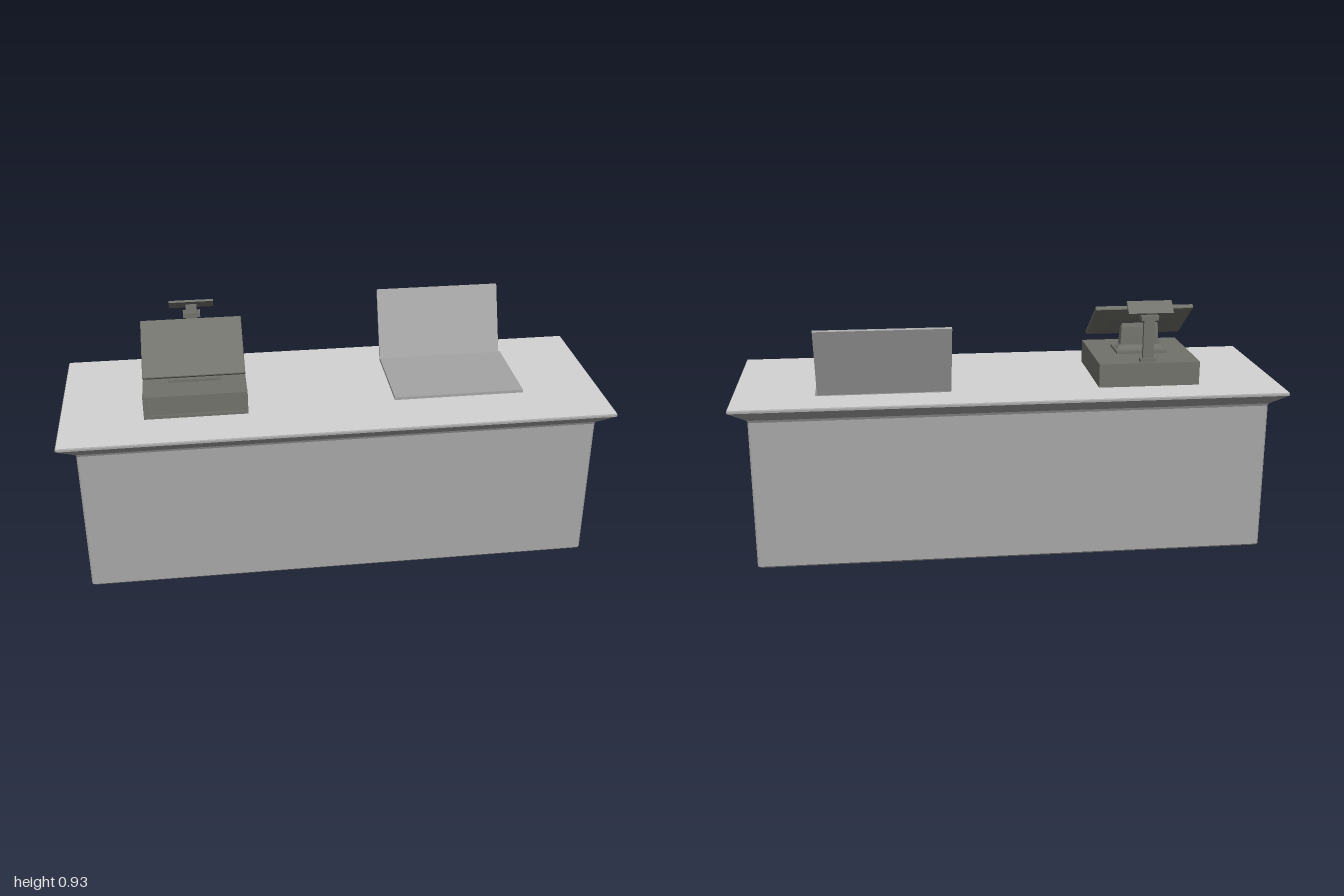
import * as THREE from 'three';

const mat = (name, color) => new THREE.MeshStandardMaterial({ name, color });

// Stacked rectangles with chamfered corners; levels are [y, halfX, halfZ]
function loft(levels, c = 0.002, topCap = true) {
  const rings = levels.map(([y, hx, hz]) => [
    [-hx + c, y, hz], [hx - c, y, hz], [hx, y, hz - c], [hx, y, -hz + c],
    [hx - c, y, -hz], [-hx + c, y, -hz], [-hx, y, -hz + c], [-hx, y, hz - c],
  ]);
  const pos = [];
  const tri = (...pts) => pts.forEach((p) => pos.push(...p));
  for (let k = 0; k < rings.length - 1; k++) {
    const lo = rings[k], hi = rings[k + 1];
    for (let i = 0; i < 8; i++) {
      const j = (i + 1) % 8;
      tri(lo[i], lo[j], hi[j]);
      tri(lo[i], hi[j], hi[i]);
    }
  }
  const bottom = rings[0], top = rings[rings.length - 1];
  for (let i = 1; i < 7; i++) {
    tri(bottom[0], bottom[i + 1], bottom[i]);
    if (topCap) tri(top[0], top[i], top[i + 1]);
  }
  const geo = new THREE.BufferGeometry();
  geo.setAttribute('position', new THREE.Float32BufferAttribute(pos, 3));
  geo.computeVertexNormals();
  return geo;
}

export function createModel() {
  const body = mat('counterGrey', 0xa6a6a6);
  const light = mat('worktopLightGrey', 0xd4d4d4);
  const dark = mat('registerDarkGrey', 0x72726c);
  const silver = mat('laptopGrey', 0xa5a5a5);

  const model = new THREE.Group();
  const add = (parent, name, geo, material, x = 0, y = 0, z = 0, rx = 0) => {
    const mesh = new THREE.Mesh(geo, material);
    mesh.name = name;
    mesh.position.set(x, y, z);
    mesh.rotation.x = rx;
    parent.add(mesh);
    return mesh;
  };
  const group = (name, x = 0, y = 0, z = 0) => {
    const g = new THREE.Group();
    g.name = name;
    g.position.set(x, y, z);
    model.add(g);
    return g;
  };
  const box = (w, h, d) => new THREE.BoxGeometry(w, h, d);

  // Counter: plain body flaring out to a thin lip, with a light worktop
  const counter = group('counter');
  add(counter, 'counterBody', loft([
    [0, 0.929, 0.292], [0.007, 0.936, 0.298], [0.557, 0.936, 0.298],
    [0.567, 0.942, 0.303], [0.6, 0.991, 0.338], [0.606, 1, 0.344],
    [0.613, 1, 0.344], [0.617, 0.997, 0.341],
  ], 0.006, false), body);
  const worktop = add(counter, 'worktop', new THREE.PlaneGeometry(1.99, 0.68), light, 0, 0.617, 0, -Math.PI / 2);
  worktop.scale.set(1.994 / 1.99, 0.682 / 0.68, 1);

  // Cash register: drawer with a framed front
  const register = group('cashRegister', -0.512, 0.617, 0);
  add(register, 'drawerCase', box(0.374, 0.088, 0.365), dark, 0, 0.044, -0.0205);
  const frame = new THREE.Shape([[-0.187, 0], [0.187, 0], [0.187, 0.088], [-0.187, 0.088]]
    .map(([x, y]) => new THREE.Vector2(x, y)));
  frame.holes.push(new THREE.Path([[-0.174, 0.012], [-0.174, 0.076], [0.174, 0.076], [0.174, 0.012]]
    .map(([x, y]) => new THREE.Vector2(x, y))));
  add(register, 'drawerFrame', new THREE.ExtrudeGeometry(frame, { depth: 0.006, bevelEnabled: false }),
    dark, 0, 0, 0.162);

  // Screen stand and tilted screen with a shallow tapered back
  add(register, 'standPlate', box(0.19, 0.01, 0.126), dark, 0, 0.093, -0.002);
  add(register, 'standNeck', loft([
    [0.097, 0.088, 0.031], [0.101, 0.086, 0.029], [0.113, 0.074, 0.021],
    [0.14, 0.072, 0.02], [0.18, 0.07, 0.017], [0.195, 0.068, 0.013],
  ]), dark, 0, 0, -0.002);
  add(register, 'screen', loft([
    [-0.027, 0.12, 0.05], [-0.015, 0.182, 0.117], [-0.012, 0.184, 0.119],
    [-0.003, 0.184, 0.12], [0, 0.182, 0.118],
  ]), dark, 0, 0.208, 0.016, 0.618);

  // Customer display on a pole, facing the back
  const display = group('customerDisplay', -0.508, 0, -0.179);
  add(display, 'poleFoot', box(0.06, 0.014, 0.027), dark, 0, 0.711, 0);
  add(display, 'pole', box(0.04, 0.16, 0.016), dark, 0, 0.787, 0);
  add(display, 'poleCollar', box(0.064, 0.017, 0.035), dark, 0, 0.87, -0.001);
  add(display, 'displayNeck', loft([[0.878, 0.022, 0.009], [0.897, 0.02, 0.006], [0.908, 0.02, 0.004]]), dark);
  add(display, 'displayPanel', box(0.165, 0.008, 0.056), dark, 0, 0.908, -0.007, -0.75);

  // Open laptop: flat base and lid leaning back
  const laptop = group('laptop', 0.459, 0, 0);
  add(laptop, 'laptopBase', box(0.486, 0.011, 0.341), silver, 0.002, 0.6245, -0.033);
  const lid = add(laptop, 'laptopLid', box(0.48, 0.276, 0.01).translate(0, 0.138, 0), silver,
    -0.002, 0.624, -0.2, -0.385);
  lid.castShadow = false;

  return model;
}
